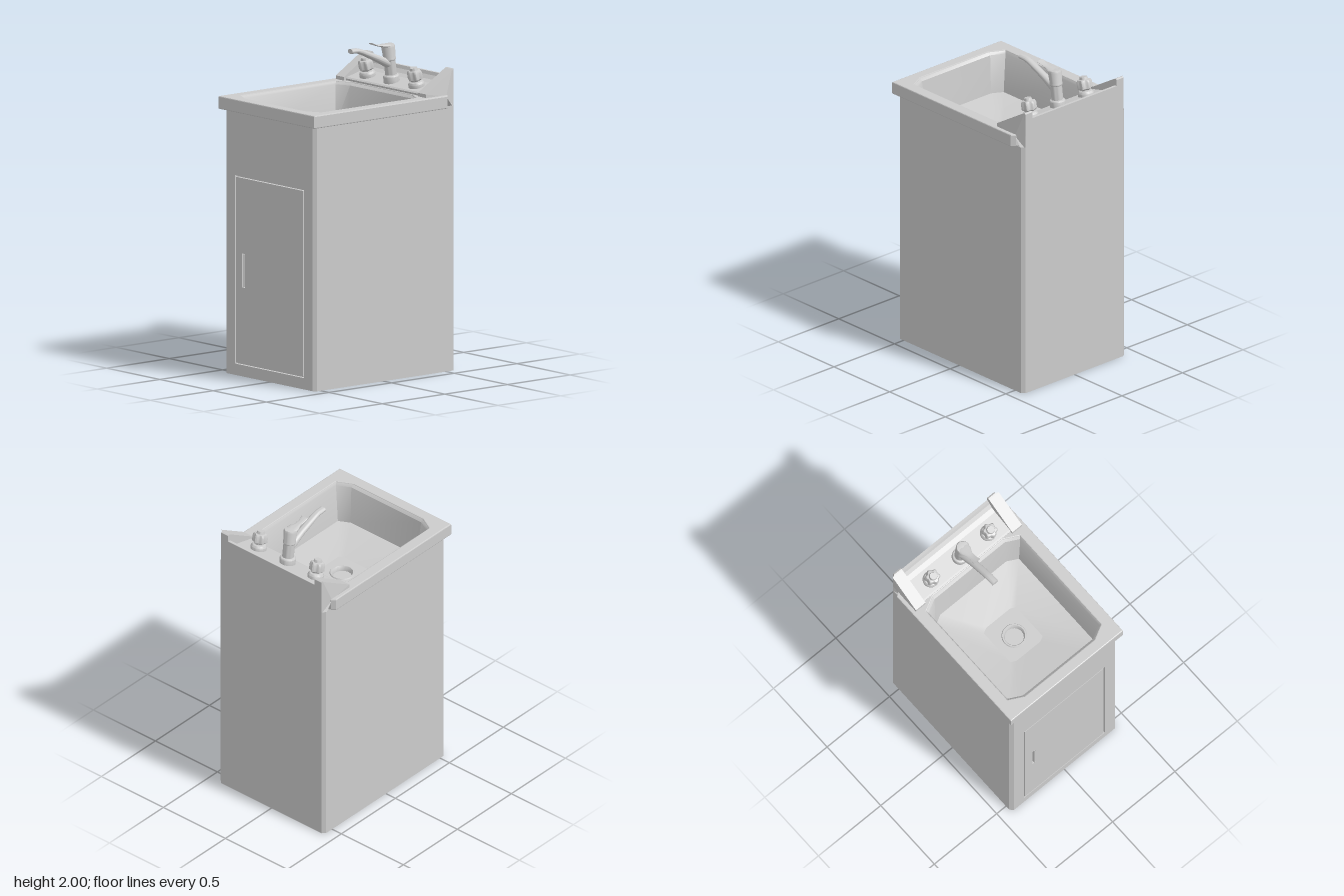
import * as THREE from 'three';
import { toCreasedNormals } from 'three/addons/utils/BufferGeometryUtils.js';

const material = new THREE.MeshStandardMaterial({ color: 0xcccccc, side: THREE.DoubleSide });

function add(parent, name, geometry) {
  const mesh = new THREE.Mesh(geometry, material);
  mesh.name = name;
  parent.add(mesh);
  return mesh;
}

// Skin over a list of rings; each ring is a list of [x, y, z]
function loft(rings, { closed = true, capStart = false, capEnd = false } = {}) {
  const all = [...rings], n = rings[0].length;
  const centre = (r) => {
    const c = [0, 1, 2].map((k) => r.reduce((s, p) => s + p[k], 0) / n);
    return r.map(() => c);
  };
  if (capStart) all.unshift(centre(rings[0]));
  if (capEnd) all.push(centre(rings[rings.length - 1]));
  const index = [];
  for (let i = 0; i < all.length - 1; i++) {
    for (let j = 0; j < (closed ? n : n - 1); j++) {
      const a = i * n + j, b = i * n + (j + 1) % n;
      index.push(a, b, a + n, b, b + n, a + n);
    }
  }
  const g = new THREE.BufferGeometry();
  g.setAttribute('position', new THREE.Float32BufferAttribute(all.flat(2), 3));
  g.setIndex(index);
  return toCreasedNormals(g, 0.6);
}

const shapeOf = (pts) => new THREE.Shape(pts.map(([x, y]) => new THREE.Vector2(x, y)));
const rect = (x0, x1, y0, y1) => [[x0, y0], [x1, y0], [x1, y1], [x0, y1]];
const octagon = (w, z0, z1, cx, cz) => [
  [-w + cx, z0], [w - cx, z0], [w, z0 + cz], [w, z1 - cz],
  [w - cx, z1], [-w + cx, z1], [-w, z1 - cz], [-w, z0 + cz]];

// Side profile of [z, y] points, extruded from x0 to x1
function sideExtrude(profile, x0, x1) {
  const g = new THREE.ExtrudeGeometry(shapeOf(profile), { depth: x1 - x0, bevelEnabled: false });
  return g.rotateY(-Math.PI / 2).translate(x1, 0, 0);
}

function lathe(points, segments = 32) {
  const g = new THREE.LatheGeometry(points.map(([x, y]) => new THREE.Vector2(x, y)), segments);
  return toCreasedNormals(g, 0.6);
}

function buildCabinet(group) {
  // Open-bottomed walls with chamfered corners
  const outline = [[0.405, 0.55], [0.425, 0.53], [0.425, -0.555], [0.405, -0.575],
    [-0.405, -0.575], [-0.425, -0.555], [-0.425, 0.53], [-0.405, 0.55]];
  add(group, 'cabinetWalls', loft([0, 1.64].map((y) => outline.map(([x, z]) => [x, y, z])), { closed: false }));

  const front = shapeOf(rect(-0.405, 0.405, 0, 1.64));
  front.holes.push(shapeOf(rect(-0.325, 0.325, 0.07, 1.235)));
  add(group, 'cabinetFront', new THREE.ShapeGeometry(front).translate(0, 0, 0.55));

  // Door with a shadow groove around it and a recessed pull
  const ringAt = (pts, z) => pts.map(([x, y]) => [x, y, z]);
  const outer = rect(-0.325, 0.325, 0.07, 1.235), inner = rect(-0.316, 0.316, 0.079, 1.226);
  add(group, 'doorGroove', loft([ringAt(outer, 0.55), ringAt(outer, 0.53), ringAt(inner, 0.53), ringAt(inner, 0.55)]));
  const pull = rect(-0.257, -0.232, 0.55, 0.76);
  const door = shapeOf(inner);
  door.holes.push(shapeOf(pull));
  add(group, 'door', new THREE.ShapeGeometry(door).translate(0, 0, 0.55));
  add(group, 'doorPull', loft([ringAt(pull, 0.55), ringAt(pull, 0.525)], { capEnd: true }));
  add(group, 'doorPullLip', new THREE.BoxGeometry(0.008, 0.2, 0.02).translate(-0.238, 0.655, 0.541));
}

function buildTub(group) {
  // Rim slab with the basin opening
  const b = 0.006;
  const rim = shapeOf([[-0.45, 0.575], [0.45, 0.575], [0.45, -0.49], [0.425, -0.51], [-0.425, -0.51], [-0.45, -0.49]]);
  rim.holes.push(shapeOf(octagon(0.375, -0.35, 0.505, 0.095, 0.05)));
  const slab = new THREE.ExtrudeGeometry(rim, {
    depth: 0.08 - 2 * b, bevelThickness: b, bevelSize: b, bevelOffset: -b, bevelSegments: 2 });
  add(group, 'rim', slab.rotateX(Math.PI / 2).translate(0, 1.71 - b, 0));

  // Basin walls and sloping floor
  const level = (y, ...o) => octagon(...o).map(([x, z]) => [x, y, z]);
  add(group, 'basin', loft([
    level(1.705, 0.375, -0.35, 0.505, 0.095, 0.05),
    level(1.69, 0.367, -0.333, 0.49, 0.085, 0.045),
    level(1.45, 0.335, -0.3, 0.464, 0.07, 0.038),
    level(1.40, 0.13, -0.067, 0.215, 0.035, 0.017)]));
  const floor = shapeOf(octagon(0.13, -0.067, 0.215, 0.035, 0.017));
  floor.holes.push(new THREE.Path().absarc(0, 0.083, 0.07, 0, Math.PI * 2));
  add(group, 'basinFloor', new THREE.ShapeGeometry(floor, 24).rotateX(Math.PI / 2).translate(0, 1.40, 0));
  add(group, 'drain', lathe([[0, 1.375], [0.058, 1.375], [0.062, 1.402], [0.066, 1.407],
    [0.074, 1.407], [0.078, 1.4]])).position.z = 0.083;
}

function buildSplashback(group) {
  // Sloping tap deck that curves up at the back
  add(group, 'tapDeck', sideExtrude([[-0.575, 1.63], [-0.36, 1.7], [-0.355, 1.722], [-0.365, 1.73],
    [-0.5, 1.763], [-0.53, 1.778], [-0.55, 1.8], [-0.558, 1.82], [-0.575, 1.82]], -0.35, 0.35));
  // Wedge cheeks with a chamfered outer back corner
  for (const s of [1, -1]) {
    const g = sideExtrude([[-0.575, 1.63], [-0.555, 1.63], [-0.5, 1.7], [-0.34, 1.71], [-0.34, 1.732],
      [-0.555, 1.862], [-0.565, 1.866], [-0.575, 1.86]], 0.348, 0.425);
    const p = g.attributes.position;
    for (let i = 0; i < p.count; i++) {
      if (p.getX(i) > 0.42 && p.getZ(i) < -0.56) p.setX(i, 0.405);
      p.setX(i, p.getX(i));
    }
    g.computeVertexNormals();
    if (s < 0) g.rotateY(Math.PI).scale(1, 1, -1);
    if (s < 0) { // restore the winding after mirroring
      for (let i = 0; i < p.count; i += 3) {
        const a = new THREE.Vector3().fromBufferAttribute(p, i);
        const c = new THREE.Vector3().fromBufferAttribute(p, i + 2);
        p.setXYZ(i, c.x, c.y, c.z);
        p.setXYZ(i + 2, a.x, a.y, a.z);
      }
      g.computeVertexNormals();
    }
    add(group, s > 0 ? 'leftCheek' : 'rightCheek', g);
  }
}

function buildTaps(group) {
  // Lobed tap handles
  for (const s of [1, -1]) {
    const tap = new THREE.Group();
    tap.name = s > 0 ? 'leftTap' : 'rightTap';
    tap.position.set(s * 0.23, 1.745, -0.43);
    tap.rotation.x = 0.22;
    add(tap, 'tapBase', lathe([[0.05, 0], [0.05, 0.02], [0.042, 0.032], [0.03, 0.036], [0.03, 0.055]]));
    const rings = [[0.03, 0.04], [0.043, 0.05], [0.043, 0.09], [0.037, 0.103], [0.026, 0.106], [0.022, 0.122]]
      .map(([r, y], k) => Array.from({ length: 48 }, (_, i) => {
        const t = i / 48 * Math.PI * 2, q = r * (k < 4 ? 1 + 0.12 * Math.cos(6 * t) : 1);
        return [q * Math.sin(t), y, q * Math.cos(t)];
      }));
    add(tap, 'tapHandle', loft(rings, { capEnd: true }));
    group.add(tap);
  }

  // Mixer body
  const body = add(group, 'mixerBody', lathe([[0.05, -0.01], [0.05, 0.03], [0.046, 0.036], [0.036, 0.04],
    [0.036, 0.13], [0.04, 0.135], [0.04, 0.145], [0.038, 0.15], [0.043, 0.215], [0.038, 0.228], [0, 0.234]]));
  body.position.set(0, 1.75, -0.425);
  body.rotation.x = 0.13;

  // Spout and lever as elliptical sections of [z, y, half width, half height]
  const tube = (sections) => loft(sections.map(([z, y, w, h]) => Array.from({ length: 24 }, (_, i) => {
    const t = i / 24 * Math.PI * 2;
    return [w * Math.cos(t), y + h * Math.sin(t), z];
  })), { capStart: true, capEnd: true });
  add(group, 'spout', tube([[-0.41, 1.85, 0.032, 0.032], [-0.3, 1.903, 0.025, 0.023],
    [-0.18, 1.955, 0.024, 0.018], [-0.145, 1.966, 0.024, 0.016], [-0.095, 1.968, 0.023, 0.015]]));
  add(group, 'lever', tube([[-0.41, 1.968, 0.04, 0.012], [-0.37, 1.972, 0.038, 0.011],
    [-0.335, 1.975, 0.022, 0.007], [-0.3, 1.982, 0.021, 0.005], [-0.265, 1.995, 0.026, 0.005]]));
}

export function createModel() {
  const model = new THREE.Group();
  model.name = 'laundryTub';
  for (const [name, build] of [['cabinet', buildCabinet], ['tub', buildTub],
    ['splashback', buildSplashback], ['tapware', buildTaps]]) {
    const part = new THREE.Group();
    part.name = name;
    build(part);
    model.add(part);
  }
  return model;
}
